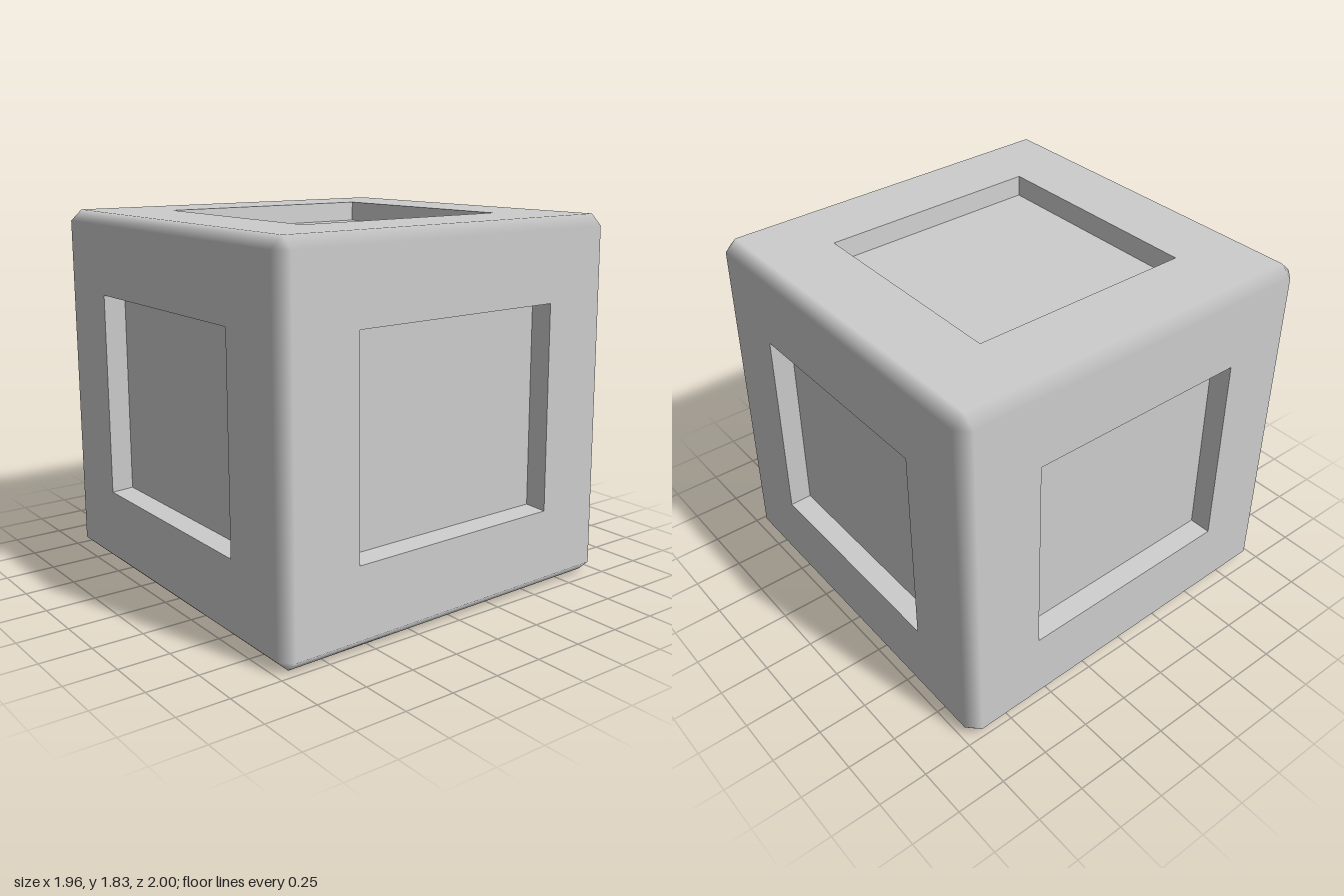
import * as THREE from 'three';

const BEVEL = 0.06;   // edge bevel, in half-widths of the block
const DEPTH = 0.11;   // depth of the recessed panels
const OPEN = [0.59, 0.56, 0.585]; // panel opening along x, y, z

// Slightly uneven block corners: right/left, top/bottom, front/back
const CORNERS = {
  '-1,-1,1': [-0.985, 0, 1.0], '1,-1,1': [0.977, 0.01, 0.973],
  '-1,1,1': [-0.98, 1.832, 0.98], '1,1,1': [0.977, 1.832, 0.94],
  '-1,-1,-1': [-0.985, 0.01, -0.965], '1,-1,-1': [0.98, 0, -1.0],
  '-1,1,-1': [-0.982, 1.828, -0.968], '1,1,-1': [0.972, 1.825, -0.962],
};
const SIGNS = [-1, 1];

// Maps a point of the regular cube into the uneven block
function warp(c) {
  const p = new THREE.Vector3();
  for (const [key, pos] of Object.entries(CORNERS)) {
    const s = key.split(',').map(Number);
    const w = s.reduce((m, k, i) => m * (1 + k * c[i]) / 2, 1);
    p.addScaledVector(new THREE.Vector3(...pos), w);
  }
  return p;
}

// Point on a cube side: axis and its coordinate, then the two other axes
function at(axis, d, u, v) {
  const c = [0, 0, 0];
  c[axis] = d;
  c[(axis + 1) % 3] = u;
  c[(axis + 2) % 3] = v;
  return c;
}

const ring = (axis, d, u, v) =>
  [[-1, -1], [1, -1], [1, 1], [-1, 1]].map(([i, j]) => at(axis, d, i * u, j * v));

function faceNormal(axis, s) {
  const [a, b, c, d] = ring(axis, s, 1, 1).map(warp);
  return c.sub(a).cross(d.sub(b)).normalize().multiplyScalar(s);
}

// Collects convex polygons, turned to face the given direction
class Skin {
  positions = [];
  normals = [];
  add(points, facing, normals) {
    const p = points.map(warp);
    const n = new THREE.Vector3().crossVectors(p[1].clone().sub(p[0]), p[2].clone().sub(p[0])).normalize();
    const flip = n.dot(facing) < 0;
    if (flip) n.negate();
    for (let i = 1; i < p.length - 1; i++) {
      for (const k of flip ? [0, i + 1, i] : [0, i, i + 1]) {
        this.positions.push(...p[k].toArray());
        this.normals.push(...(normals ? normals[k] : n).toArray());
      }
    }
  }
  mesh(name, material) {
    const g = new THREE.BufferGeometry();
    g.setAttribute('position', new THREE.Float32BufferAttribute(this.positions, 3));
    g.setAttribute('normal', new THREE.Float32BufferAttribute(this.normals, 3));
    const m = new THREE.Mesh(g, material);
    m.name = name;
    return m;
  }
}

export function createModel() {
  const group = new THREE.Group();
  group.name = 'panelledBlock';
  const grey = new THREE.MeshStandardMaterial({ color: 0xcccccc });
  grey.name = 'plain grey';

  const e = 1 - BEVEL;
  const body = new Skin();
  const sideNames = [['right', 'left'], ['bottom', 'top'], ['back', 'front']];

  for (let a = 0; a < 3; a++) {
    const ou = OPEN[(a + 1) % 3], ov = OPEN[(a + 2) % 3];
    for (const s of SIGNS) {
      const n = faceNormal(a, s);
      const outer = ring(a, s, e, e);

      // Plain underside
      if (a === 1 && s < 0) {
        body.add(outer, n, [n, n, n, n]);
        continue;
      }
      // Frame around the opening, then the recess walls and floor
      const rim = ring(a, s, ou, ov);
      const floor = ring(a, s * (1 - DEPTH), ou - 0.01, ov - 0.01);
      const recess = new Skin();
      for (let i = 0; i < 4; i++) {
        const j = (i + 1) % 4;
        body.add([outer[i], outer[j], rim[j], rim[i]], n, [n, n, n, n]);
        const inward = new THREE.Vector3(...rim[i]).add(new THREE.Vector3(...rim[j])).multiplyScalar(-1);
        inward.setComponent(a, 0);
        recess.add([rim[i], rim[j], floor[j], floor[i]], inward);
      }
      recess.add(floor, n);
      group.add(recess.mesh(sideNames[a][(s + 1) / 2] + 'RecessedPanel', grey));
    }
  }

  // Smooth bevels along the twelve edges
  for (let a = 0; a < 3; a++) {
    const b = (a + 1) % 3;
    for (const s of SIGNS) for (const t of SIGNS) {
      const na = faceNormal(a, s), nb = faceNormal(b, t);
      const points = [
        at(a, s, t * e, -e), at(a, s, t * e, e),
        at(a, s * e, t, e), at(a, s * e, t, -e),
      ];
      body.add(points, na.clone().add(nb), [na, na, nb, nb]);
    }
  }

  // Corner caps
  for (const x of SIGNS) for (const y of SIGNS) for (const z of SIGNS) {
    body.add(
      [[x, y * e, z * e], [x * e, y, z * e], [x * e, y * e, z]],
      new THREE.Vector3(x, y, z),
      [faceNormal(0, x), faceNormal(1, y), faceNormal(2, z)],
    );
  }
  group.add(body.mesh('blockBody', grey));
  return group;
}
